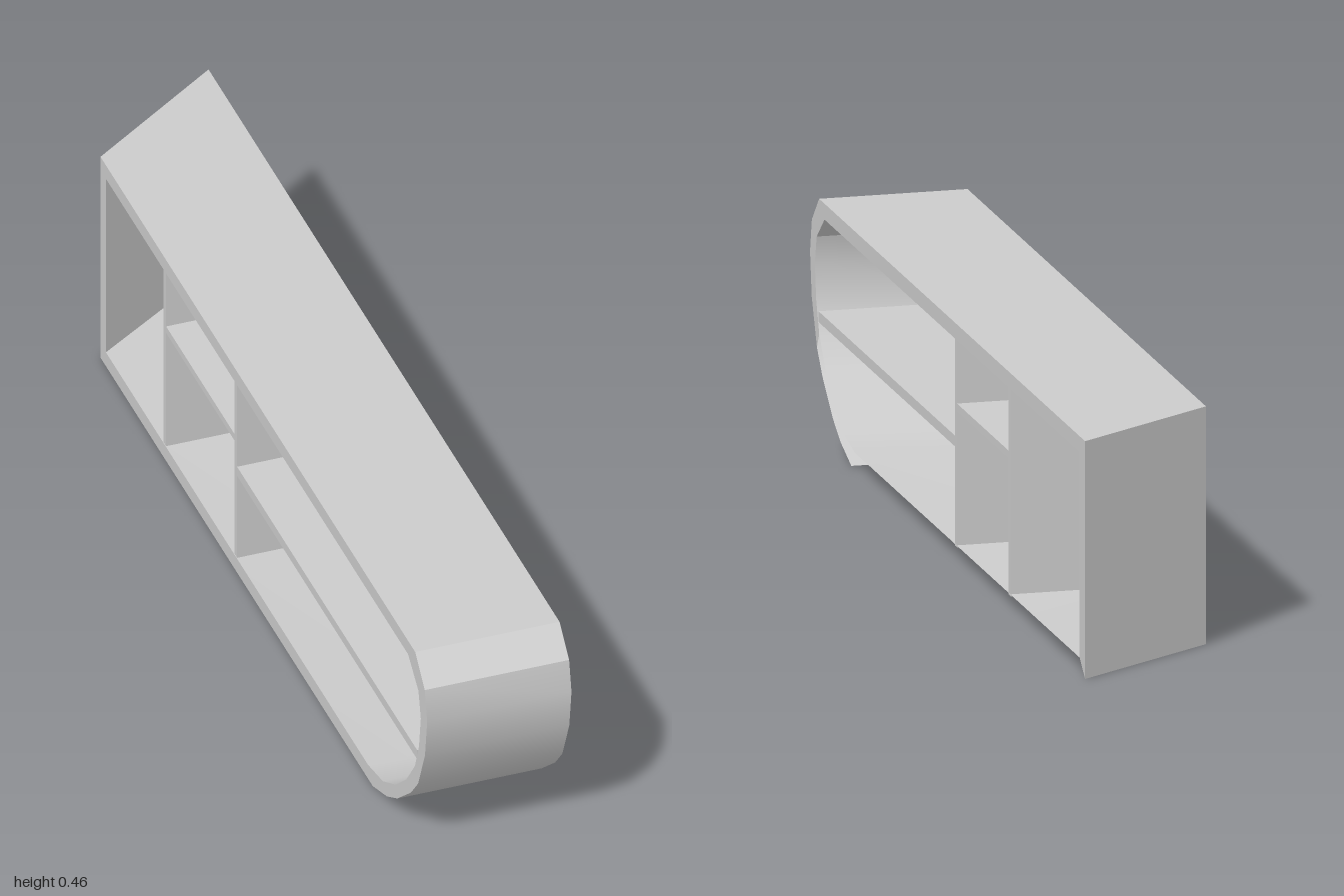
import * as THREE from 'three';
import { toCreasedNormals } from 'three/addons/utils/BufferGeometryUtils.js';

const HALF = 0.145;
const material = new THREE.MeshStandardMaterial({ color: 0xcccccc, side: THREE.DoubleSide });

// Side profiles as [z, y]: top of the nose round to its underside
const outerNose = [[0.934, 0.463], [0.987, 0.41], [1, 0.345], [0.988, 0.26], [0.95, 0.17],
  [0.91, 0.123], [0.835, 0.06], [0.777, 0.027], [0.7, 0]];
const innerNose = [[0.895, 0.432], [0.952, 0.385], [0.965, 0.33], [0.955, 0.26], [0.933, 0.2],
  [0.885, 0.137], [0.826, 0.086], [0.756, 0.048], [0.675, 0.032]];

// Closed loop in the plane x; the back end slants across the width
function loop(nose, x, inner) {
  const back = inner ? -0.865 - 0.655 * x : -0.9 - 0.69 * x;
  const bottom = nose[nose.length - 1][1], top = nose[0][1];
  return [[back, bottom], [back, top], ...nose].map(([z, y]) => new THREE.Vector3(x, y, z));
}

// Band of quads between two loops; segment 0 is the back, 1 the top, the last the bottom
function band(name, a, b, count) {
  const pos = [];
  for (let i = 0; i < count; i++) {
    const j = (i + 1) % a.length;
    for (const p of [a[i], b[i], b[j], a[i], b[j], a[j]]) pos.push(p.x, p.y, p.z);
  }
  const geometry = new THREE.BufferGeometry();
  geometry.setAttribute('position', new THREE.Float32BufferAttribute(pos, 3));
  geometry.computeVertexNormals();
  const mesh = new THREE.Mesh(toCreasedNormals(geometry, 0.5), material);
  mesh.name = name;
  return mesh;
}

// Board spanning the full width, given by its z and y limits
function board(name, z0, z1, y0, y1) {
  const mesh = new THREE.Mesh(new THREE.BoxGeometry(HALF * 2 - 0.002, y1 - y0, z1 - z0), material);
  mesh.position.set(0, (y0 + y1) / 2, (z0 + z1) / 2);
  mesh.name = name;
  return mesh;
}

export function createModel() {
  const group = new THREE.Group();
  group.name = 'shelfUnit';

  const outL = loop(outerNose, HALF, false), outR = loop(outerNose, -HALF, false);
  const inL = loop(innerNose, HALF, true), inR = loop(innerNose, -HALF, true);
  const n = outL.length;

  // Shell: the underside and the lower left rim stay open
  group.add(
    band('outerShell', outR, outL, n - 1),
    band('innerShell', inL, inR, n),
    band('rightRim', inR, outR, n),
    band('leftRim', outL, inL, 6),
  );

  // Dividers and shelves
  group.add(
    board('frontDivider', -0.065, -0.05, 0.028, 0.436),
    board('backDivider', -0.456, -0.441, 0.028, 0.436),
    board('longShelf', -0.05, 0.942, 0.221, 0.242),
    board('shortShelf', -0.441, -0.065, 0.293, 0.308),
  );
  return group;
}
